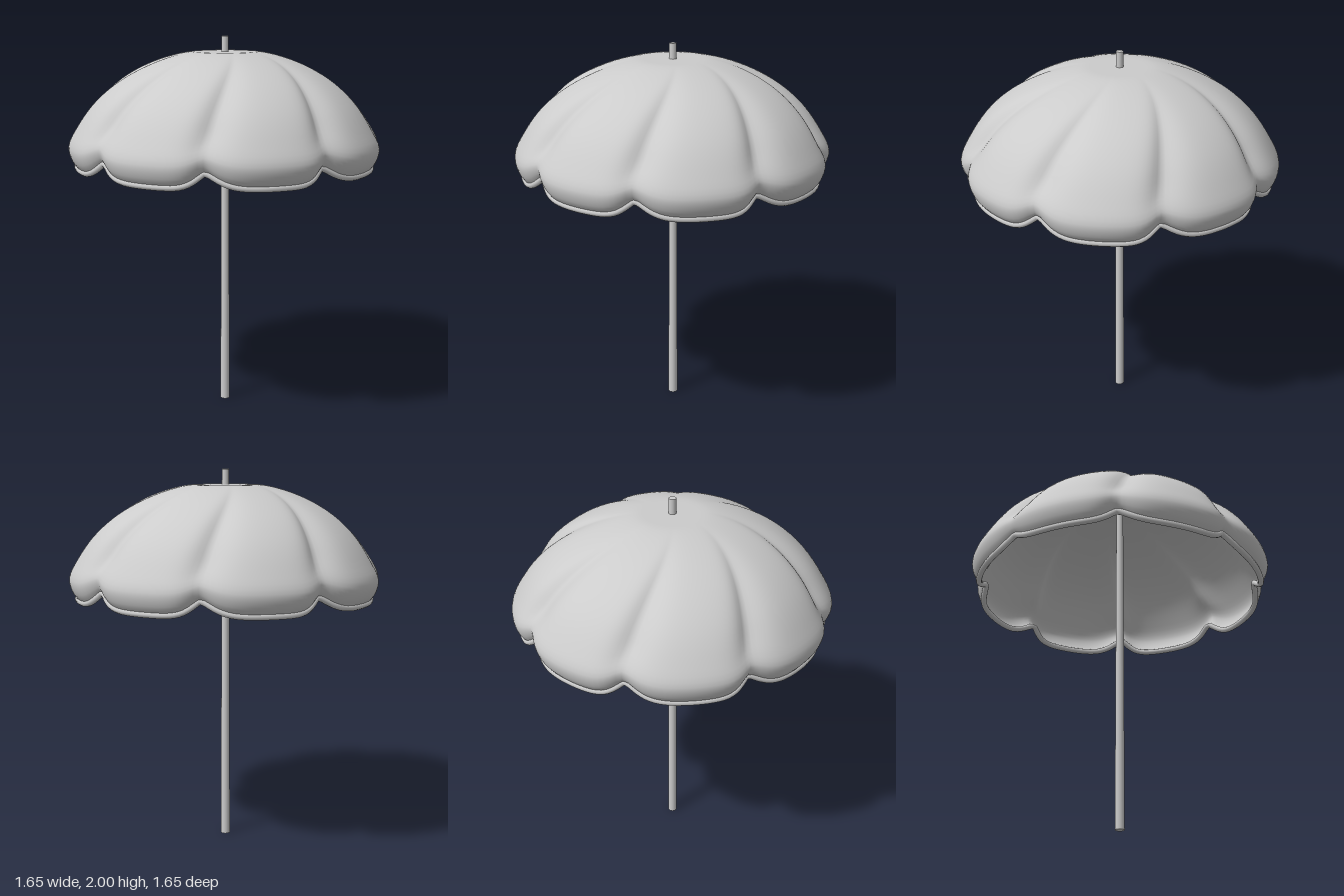
import * as THREE from 'three';

const LOBES = 8;
const RAD = Math.PI / 180;
const SEG = 192;
const ROWS = 40;

// Canopy section from the crown to the rim (radius, height)
const profile = new THREE.CatmullRomCurve3([
  [0, 1.92], [0.1, 1.92], [0.2, 1.917], [0.34, 1.882], [0.48, 1.822], [0.6, 1.745],
  [0.7, 1.65], [0.78, 1.535], [0.825, 1.44], [0.812, 1.375], [0.782, 1.332],
].map(([r, y]) => new THREE.Vector3(r, y, 0)));

// Strength of the groove between two lobes, steeper on one side
function groove(deg) {
  const step = 360 / LOBES;
  const d = ((deg + 13.5 + step / 2) % step + step) % step - step / 2;
  return Math.exp(-Math.pow(Math.abs(d) / (d < 0 ? 7 : 5), 1.5));
}

// Point on the scalloped canopy; t runs from crown to rim
function canopyPoint(t, deg) {
  const p = profile.getPoint(t);
  const g = groove(deg);
  const rim = THREE.MathUtils.clamp(1 - (p.y - 1.33) / 0.25, 0, 1);
  const depth = 0.055 * THREE.MathUtils.smoothstep(p.x, 0.12, 0.75) - 0.02 * rim * rim;
  const r = p.x - Math.max(depth, 0) * g;
  const y = p.y + 0.07 * g * rim;
  // The grooves swirl towards the crown
  const twist = t > 0.8 ? 0 : -24 * (1 - Math.min(p.x / 0.8, 1));
  const a = (deg + twist) * RAD;
  return new THREE.Vector3(r * Math.cos(a), y, r * Math.sin(a));
}

function canopyGeometry() {
  const pos = [], index = [];
  for (let i = 0; i <= ROWS; i++) {
    for (let j = 0; j < SEG; j++) {
      pos.push(...canopyPoint(i / ROWS, j * 360 / SEG).toArray());
      if (i === ROWS) continue;
      const k = (j + 1) % SEG;
      const a = i * SEG + j, b = i * SEG + k, c = a + SEG, d = b + SEG;
      if (i > 0) index.push(a, b, c);
      index.push(b, d, c);
    }
  }
  const geo = new THREE.BufferGeometry();
  geo.setAttribute('position', new THREE.Float32BufferAttribute(pos, 3));
  geo.setIndex(index);
  geo.computeVertexNormals();
  return geo;
}

export function createModel() {
  const group = new THREE.Group();
  const grey = new THREE.MeshStandardMaterial({ color: 0xcccccc });
  const cloth = new THREE.MeshStandardMaterial({ color: 0xcccccc, side: THREE.DoubleSide });
  const add = (name, geo, mat) => {
    const mesh = new THREE.Mesh(geo, mat);
    mesh.name = name;
    group.add(mesh);
    return mesh;
  };

  // Lobed cloth dome
  add('canopy', canopyGeometry(), cloth);

  // Rounded hem following the scalloped rim
  const rim = [];
  for (let j = 0; j < SEG; j++) rim.push(canopyPoint(1, -j * 360 / SEG));
  const rimCurve = new THREE.CatmullRomCurve3(rim, true);
  add('hem', new THREE.TubeGeometry(rimCurve, 240, 0.016, 10, true), grey);

  // Slightly tapered pole through the crown
  add('pole', new THREE.CylinderGeometry(0.019, 0.025, 2, 20), grey).position.y = 1;

  return group;
}
